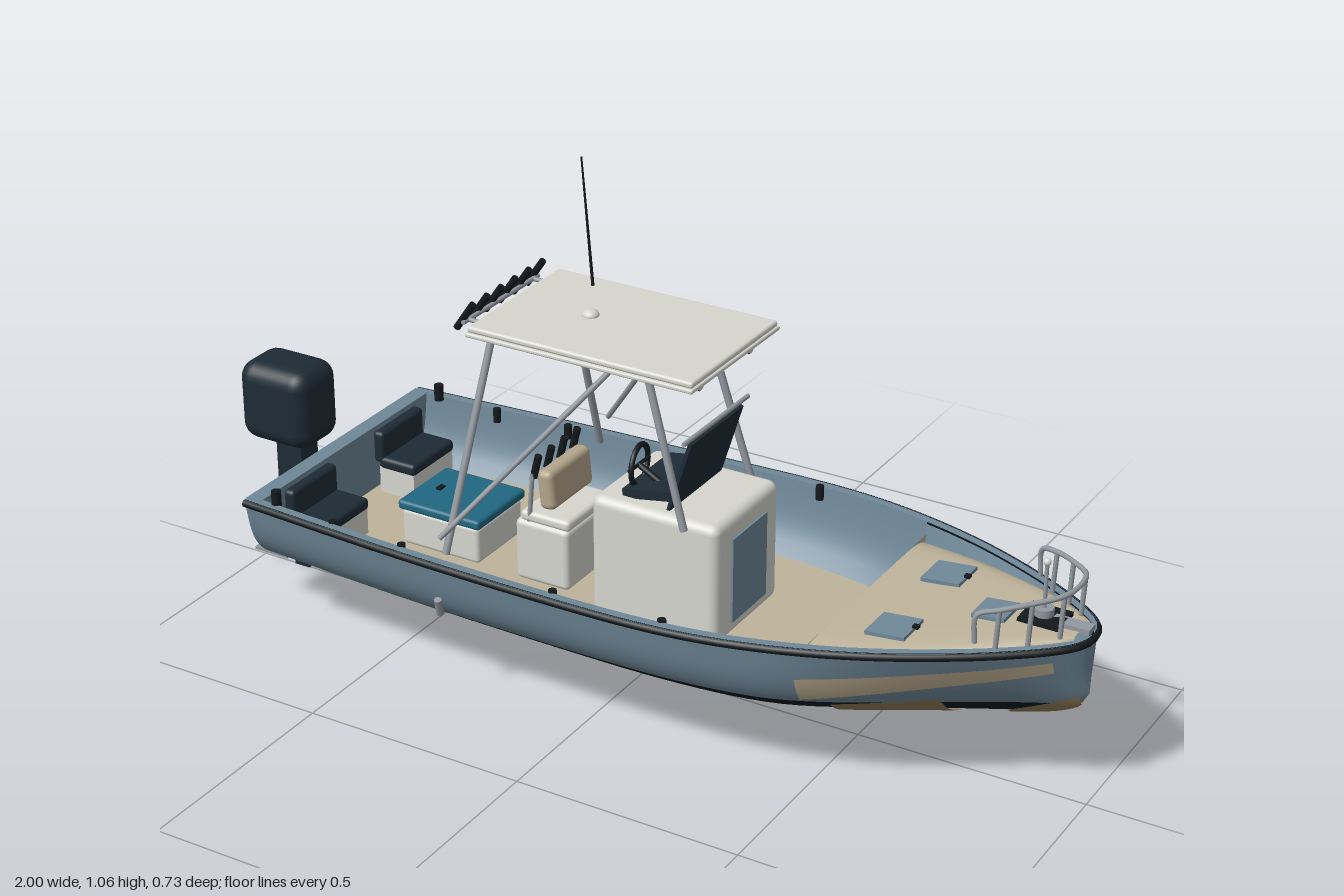
import * as THREE from 'three';
import { RoundedBoxGeometry } from 'three/addons/geometries/RoundedBoxGeometry.js';

const V = (x, y, z) => new THREE.Vector3(x, y, z);
const lerp = THREE.MathUtils.lerp;

// smooth interpolation through a small table of [x, value]
function curve(pts) {
  const slope = i => {
    const a = pts[Math.max(0, i - 1)], b = pts[Math.min(pts.length - 1, i + 1)];
    return (b[1] - a[1]) / (b[0] - a[0]);
  };
  return x => {
    let i = 0;
    while (i < pts.length - 2 && x > pts[i + 1][0]) i++;
    const [x0, y0] = pts[i], [x1, y1] = pts[i + 1], h = x1 - x0;
    const t = THREE.MathUtils.clamp((x - x0) / h, 0, 1), t2 = t * t, t3 = t2 * t;
    return (2 * t3 - 3 * t2 + 1) * y0 + (t3 - 2 * t2 + t) * h * slope(i)
      + (3 * t2 - 2 * t3) * y1 + (t3 - t2) * h * slope(i + 1);
  };
}

// hull lines
const beam = curve([[-0.79, 0.318], [-0.4, 0.342], [0, 0.353], [0.2, 0.353], [0.35, 0.339], [0.5, 0.305],
  [0.65, 0.252], [0.8, 0.178], [0.9, 0.115], [0.96, 0.066], [0.985, 0.03], [0.99, 0]]);
const sheer = curve([[-0.79, 0.328], [0, 0.334], [0.5, 0.35], [0.99, 0.373]]);
const keel = curve([[-0.79, 0.115], [-0.4, 0.11], [0.3, 0.111], [0.5, 0.12], [0.75, 0.15], [0.9, 0.187], [0.97, 0.22], [0.99, 0.25]]);
const section = curve([[0, 0], [0.05, 0.25], [0.13, 0.49], [0.25, 0.71], [0.4, 0.85], [0.62, 0.94], [1, 1]]);
const waterline = x => Math.max(keel(x), lerp(0.18, 0.222, (x + 0.79) / 1.76));
const halfWidth = (x, y) => {
  const u = THREE.MathUtils.clamp((y - keel(x)) / (sheer(x) - keel(x)), 0, 1);
  return beam(x) * lerp(section(u), Math.pow(u, 0.7), THREE.MathUtils.smoothstep(x, 0.4, 0.99));
};
const station = (s, a = -0.79, b = 0.99) => lerp(a, b, 1 - Math.pow(1 - s, 1.8));
const deckY = x => sheer(x) + lerp(-0.02, 0.014, Math.min(1, (x - 0.5) / 0.38));
const FLOOR = 0.19;

// surface from a rule f(s, t) -> [x, y, z]
function grid(nu, nv, f) {
  const pos = [], idx = [];
  for (let i = 0; i <= nu; i++) for (let j = 0; j <= nv; j++) pos.push(...f(i / nu, j / nv));
  for (let i = 0; i < nu; i++) for (let j = 0; j < nv; j++) {
    const a = i * (nv + 1) + j, b = a + nv + 1;
    idx.push(a, b, a + 1, b, b + 1, a + 1);
  }
  const g = new THREE.BufferGeometry();
  g.setAttribute('position', new THREE.Float32BufferAttribute(pos, 3));
  g.setIndex(idx);
  g.computeVertexNormals();
  return g;
}

export function createModel() {
  const model = new THREE.Group();
  const mat = (name, color, double) => {
    const m = new THREE.MeshStandardMaterial({ color });
    m.name = name;
    if (double) m.side = THREE.DoubleSide;
    return m;
  };
  const blue = mat('hull blue', 0x6f8898, true), bottom = mat('bottom black', 0x10191f, true);
  const tan = mat('deck tan', 0xbfb49b, true), khaki = mat('khaki', 0x8f7c58, true);
  const sand = mat('sand', 0xb5a68b, true), white = mat('off white', 0xd6d6cf);
  const metal = mat('metal grey', 0x9299a0), teal = mat('teal', 0x1f6781);
  const navy = mat('dark navy', 0x1e2b35), black = mat('black', 0x14191d);

  const add = (name, geo, m, p = [0, 0, 0], r = [0, 0, 0]) => {
    const mesh = new THREE.Mesh(geo, m);
    mesh.name = name;
    mesh.position.set(...p);
    mesh.rotation.set(...r);
    model.add(mesh);
    return mesh;
  };
  const box = (name, m, size, p, r) => add(name, new THREE.BoxGeometry(...size), m, p, r);
  const soft = (name, m, size, p, rad, r) => add(name, new RoundedBoxGeometry(...size, 3, rad), m, p, r);
  const rod = (name, m, a, b, r, r2 = r) => {
    const A = V(...a), B = V(...b), d = B.clone().sub(A);
    const mesh = add(name, new THREE.CylinderGeometry(r2, r, d.length(), 10), m, A.clone().add(B).multiplyScalar(0.5).toArray());
    mesh.quaternion.setFromUnitVectors(V(0, 1, 0), d.normalize());
  };

  // hull shell and transom
  for (const k of [1, -1]) {
    const skin = (name, m, lo, hi, a, b, off = 0, n = 60) => add(name, grid(n, 14, (s, t) => {
      const x = off ? lerp(a, b, s) : station(s, a, b), y = Math.max(keel(x), lerp(lo(x), hi(x), t));
      return [x + off * 0.5, y - off * 0.7, k * (halfWidth(x, y) + off)];
    }), m);
    skin('hullBottom', bottom, keel, waterline, -0.79, 0.99);
    skin('hullSide', blue, waterline, sheer, -0.79, 0.99);
    // painted patches
    const line = (x0, y0, x1, y1) => x => lerp(y0, y1, (x - x0) / (x1 - x0));
    skin('upperPatch', sand, line(0.5, 0.225, 0.94, 0.318), line(0.5, 0.284, 0.94, 0.346), 0.5, 0.94, 0.004, 24);
    skin('lowerPatch', khaki, line(0.55, 0.142, 0.74, 0.155), line(0.55, 0.213, 0.74, 0.236), 0.55, 0.74, 0.004, 16);
    skin('bowPatch', khaki, keel, line(0.83, 0.19, 0.975, 0.252), 0.84, 0.975, 0.004, 16);
    // gunwale cap and cockpit wall
    add('gunwale', grid(60, 1, (s, t) => {
      const x = station(s);
      return [x, sheer(x) + 0.008, k * Math.max(0, beam(x) + 0.003 - 0.022 * t)];
    }), blue);
    add('cockpitWall', grid(40, 6, (s, t) => {
      const x = lerp(-0.77, 0.5, s), y = lerp(FLOOR, sheer(x) + 0.008, t);
      return [x, y, k * (halfWidth(x, y) - lerp(0.012, 0.019, t))];
    }), blue);
    rod('hullFitting', metal, [-0.3, 0.205, k * 0.318], [-0.295, 0.245, k * 0.332], 0.008);
    for (const x of [-0.57, -0.39, -0.02, 0.23])
      rod('gunwaleHolder', black, [x, sheer(x) - 0.02, k * (beam(x) - 0.024)], [x, sheer(x) + 0.012, k * (beam(x) - 0.024)], 0.009);
    rod('sternCleat', black, [-0.72, 0.33, k * 0.3], [-0.72, 0.367, k * 0.3], 0.011);
  }
  const wall = (name, m, x, lo, hi, inset) => add(name, grid(24, 10, (s, t) => {
    const y = lerp(lo, hi, t);
    return [x, y, (2 * s - 1) * (halfWidth(x, y) - inset)];
  }), m);
  wall('transomBottom', bottom, -0.79, keel(-0.79), waterline(-0.79), 0);
  wall('transom', blue, -0.79, waterline(-0.79), 0.328, 0);
  wall('transomInside', blue, -0.755, FLOOR, 0.336, 0.012);
  box('transomCap', blue, [0.036, 0.01, 0.62], [-0.773, 0.332, 0]);

  // rub rail
  const side = [];
  for (let i = 0; i <= 30; i++) { const x = station(i / 30); side.push(V(x, sheer(x), beam(x) + 0.001)); }
  const loop = side.concat(side.slice(0, -1).reverse().map(p => V(p.x, p.y, -p.z)));
  add('rubRail', new THREE.TubeGeometry(new THREE.CatmullRomCurve3(loop), 160, 0.0085, 8), black);

  // cockpit sole, step and foredeck
  add('cockpitFloor', grid(40, 2, (s, t) => {
    const x = lerp(-0.77, 0.5, s);
    return [x, FLOOR, (2 * t - 1) * (halfWidth(x, FLOOR) - 0.01)];
  }), tan);
  wall('foredeckStep', tan, 0.5, FLOOR, deckY(0.5), 0.015);
  add('foredeck', grid(30, 24, (s, t) => {
    const x = station(s, 0.5, 0.965), w = 2 * t - 1;
    return [x, deckY(x) - 0.025 * Math.pow(w, 10), w * Math.max(0, beam(x) - 0.014)];
  }), tan);
  const tilt = 0.1;
  for (const z of [0.122, -0.122]) {
    box('deckHatch', blue, [0.085, 0.008, 0.085], [0.628, deckY(0.628) + 0.004, z], [0, 0, tilt]);
    box('hatchLatch', black, [0.012, 0.006, 0.012], [0.672, deckY(0.672) + 0.008, z * 0.95]);
  }
  box('bowHatch', blue, [0.07, 0.008, 0.075], [0.785, deckY(0.785) + 0.005, 0], [0, 0, tilt]);
  box('windlassPlate', black, [0.085, 0.008, 0.075], [0.888, 0.39, 0]);
  rod('windlass', metal, [0.885, 0.39, 0], [0.885, 0.41, 0], 0.02);
  box('bowRoller', metal, [0.08, 0.012, 0.03], [0.945, 0.388, 0]);

  // bow rail
  const railSide = [[0.81, 0.385, 0.152], [0.812, 0.445, 0.15], [0.85, 0.457, 0.133], [0.9, 0.467, 0.096], [0.945, 0.475, 0.05]];
  const railPts = [...railSide, [0.955, 0.477, 0], ...railSide.map(([x, y, z]) => [x, y, -z]).reverse()].map(p => V(...p));
  add('bowRail', new THREE.TubeGeometry(new THREE.CatmullRomCurve3(railPts), 80, 0.0055, 8), metal);
  for (const k of [1, -1]) for (const [x, y, z] of railSide.slice(2))
    rod('railPost', metal, [x - 0.005, sheer(x), k * z], [x, y, k * z], 0.005);
  rod('bowLightPole', metal, [0.885, 0.39, 0], [0.885, 0.505, 0], 0.004);
  add('bowLight', new THREE.SphereGeometry(0.008, 12, 8), white, [0.885, 0.508, 0]);

  // console, helm and windscreen
  soft('console', white, [0.295, 0.27, 0.26], [0.092, 0.322, 0], 0.02);
  box('consoleDoor', blue, [0.006, 0.19, 0.14], [0.241, 0.315, 0]);
  box('dash', navy, [0.12, 0.02, 0.19], [0.06, 0.472, 0], [0, 0, 0.18]);
  box('windscreen', navy, [0.008, 0.17, 0.21], [0.137, 0.535, 0], [0, 0, -0.3]);
  rod('windscreenRail', metal, [0.162, 0.626, -0.13], [0.162, 0.626, 0.13], 0.005);
  add('steeringWheel', new THREE.TorusGeometry(0.042, 0.006, 8, 24), black, [0.008, 0.505, 0.04], [0, Math.PI / 2 + 0.12, 0]);
  rod('steeringColumn', black, [0.005, 0.505, 0.04], [0.06, 0.475, 0.04], 0.007);
  rod('wheelSpoke', black, [0.007, 0.505, 0], [0.007, 0.505, 0.08], 0.004);

  // leaning post with rod holders
  soft('helmSeatBase', white, [0.13, 0.14, 0.18], [-0.2, 0.26, 0], 0.012);
  soft('helmSeatCushion', white, [0.12, 0.025, 0.17], [-0.195, 0.338, 0], 0.01);
  soft('helmSeatBack', sand, [0.038, 0.088, 0.16], [-0.196, 0.405, 0], 0.014, [0, 0, 0.1]);
  for (const z of [-0.075, -0.025, 0.025, 0.075])
    rod('seatRodHolder', black, [-0.225, 0.43, z], [-0.212, 0.482, z], 0.008);
  rod('seatRodBar', metal, [-0.225, 0.43, -0.085], [-0.225, 0.43, 0.085], 0.005);
  for (const z of [-0.08, 0.08]) rod('seatBackPost', metal, [-0.235, 0.32, z], [-0.225, 0.44, z], 0.005);

  // cooler
  soft('cooler', white, [0.195, 0.085, 0.17], [-0.458, 0.232, 0], 0.01);
  soft('coolerLid', teal, [0.207, 0.022, 0.184], [-0.458, 0.284, 0], 0.008);
  box('coolerLatch', black, [0.012, 0.006, 0.02], [-0.512, 0.296, 0]);

  // stern seats
  for (const k of [1, -1]) {
    box('sternSeatBase', white, [0.09, 0.06, 0.15], [-0.69, 0.22, k * 0.162]);
    soft('sternSeatCushion', navy, [0.095, 0.028, 0.158], [-0.688, 0.262, k * 0.162], 0.01);
    soft('sternSeatBack', navy, [0.028, 0.075, 0.158], [-0.735, 0.298, k * 0.162], 0.01);
  }

  // hardtop and frame
  soft('hardtop', white, [0.52, 0.014, 0.345], [-0.055, 0.78, 0], 0.006);
  soft('hardtopRim', white, [0.525, 0.01, 0.355], [-0.055, 0.769, 0], 0.004);
  add('radarDome', new THREE.SphereGeometry(0.018, 20, 12).scale(1, 0.7, 1), white, [-0.13, 0.788, 0]);
  rod('antenna', black, [-0.205, 0.785, -0.13], [-0.23, 1.064, -0.13], 0.0035, 0.002);
  for (const k of [1, -1]) {
    rod('rearLeg', metal, [-0.272, 0.766, k * 0.145], [-0.295, 0.335, k * 0.298], 0.008);
    rod('frameBrace', metal, [-0.01, 0.74, k * 0.132], [-0.29, 0.385, k * 0.325], 0.006);
    rod('braceHanger', metal, [-0.01, 0.74, k * 0.132], [0.005, 0.768, k * 0.12], 0.006);
    rod('frontLeg', metal, [0.07, 0.766, k * 0.12], [0.168, 0.44, k * 0.137], 0.008);
    rod('roofRail', metal, [-0.29, 0.76, k * 0.14], [0.17, 0.76, k * 0.12], 0.006);
    rod('spotlight', black, [0.16, 0.749, k * 0.1], [0.182, 0.749, k * 0.1], 0.011, 0.013);
    add('spotlightLens', new THREE.SphereGeometry(0.011, 14, 10).scale(0.5, 1, 1), white, [0.182, 0.749, k * 0.1]);
  }
  for (let i = 0; i < 6; i++) {
    const z = (i - 2.5) * 0.052;
    rod('roofRodHolder', black, [-0.367, 0.756, z], [-0.326, 0.816, z], 0.0075);
  }
  rod('roofRodBar', metal, [-0.345, 0.775, -0.14], [-0.345, 0.775, 0.14], 0.005);
  for (const z of [-0.12, 0.12]) rod('roofRodArm', metal, [-0.345, 0.775, z], [-0.3, 0.774, z], 0.005);

  // outboard engine
  soft('engineBracket', metal, [0.04, 0.125, 0.15], [-0.805, 0.198, 0], 0.004);
  soft('engineCowl', navy, [0.183, 0.185, 0.14], [-0.908, 0.412, 0], 0.04);
  box('engineLeg', navy, [0.066, 0.25, 0.06], [-0.893, 0.205, 0]);
  box('engineMount', navy, [0.06, 0.06, 0.05], [-0.845, 0.225, 0]);
  box('cavitationPlate', navy, [0.14, 0.01, 0.06], [-0.9, 0.118, 0]);
  rod('gearcase', navy, [-0.965, 0.072, 0], [-0.85, 0.072, 0], 0.016, 0.022);
  add('gearcaseNose', new THREE.SphereGeometry(0.022, 16, 10), navy, [-0.85, 0.072, 0]);
  box('skeg', navy, [0.038, 0.065, 0.008], [-0.895, 0.0325, 0]);
  for (let i = 0; i < 3; i++) {
    const blade = new THREE.BoxGeometry(0.005, 0.024, 0.036).rotateZ(0.45).translate(0, 0, -0.031);
    add('propellerBlade', blade, metal, [-0.968, 0.072, 0], [i * Math.PI * 2 / 3, 0, 0]);
  }
  rod('propellerHub', navy, [-0.955, 0.072, 0], [-0.985, 0.072, 0], 0.014, 0.006);
  // trim tabs
  for (const z of [0.142, -0.142]) box('trimTab', metal, [0.085, 0.007, 0.095], [-0.832, 0.138, z]);

  return model;
}
